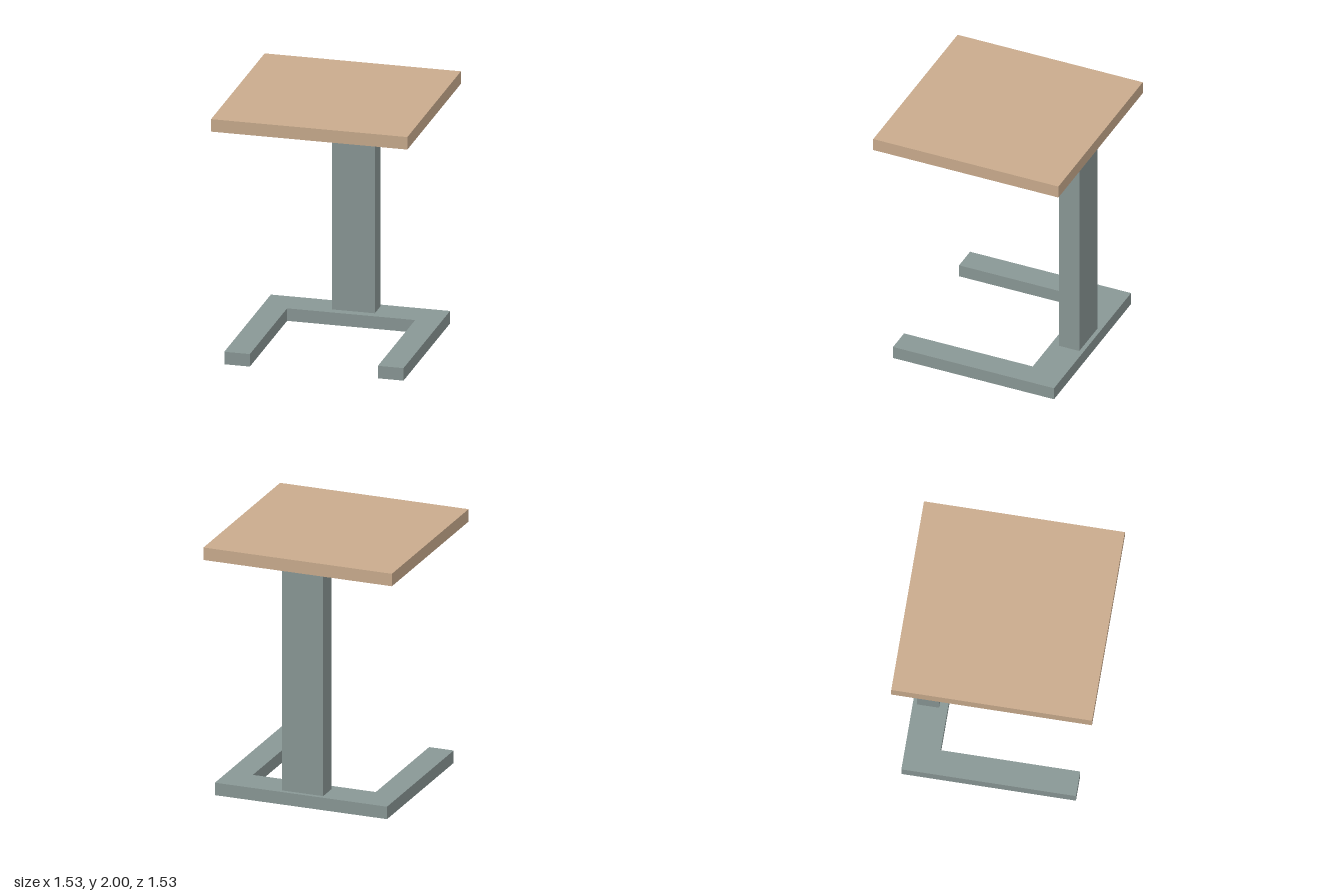
import * as THREE from 'three';

const wood = new THREE.MeshStandardMaterial({ color: 0xc9ab8d });
wood.name = 'wood';
const metal = new THREE.MeshStandardMaterial({ color: 0x899795 });
metal.name = 'greyMetal';

export function createModel() {
  const group = new THREE.Group();
  group.name = 'sideTable';

  const add = (name, geometry, material, x, y, z) => {
    const mesh = new THREE.Mesh(geometry, material);
    mesh.name = name;
    mesh.position.set(x, y, z);
    group.add(mesh);
    return mesh;
  };

  // Square tabletop
  add('tabletop', new THREE.BoxGeometry(1.533, 0.1, 1.533), wood, 0, 1.95, 0);

  // Column standing on the rear bar of the base
  add('column', new THREE.BoxGeometry(0.333, 1.8, 0.167), metal, 0, 1.0, -0.583);

  // U-shaped base, open to the front; shape y maps to -z
  const outline = [
    [-0.7, -0.633], [-0.5, -0.633], [-0.5, 0.433], [0.5, 0.433],
    [0.5, -0.633], [0.7, -0.633], [0.7, 0.7], [-0.7, 0.7],
  ].map(([x, y]) => new THREE.Vector2(x, y));
  const base = new THREE.ExtrudeGeometry(new THREE.Shape(outline), { depth: 0.1, bevelEnabled: false });
  base.rotateX(-Math.PI / 2);
  add('base', base, metal, 0, 0, 0);

  return group;
}
